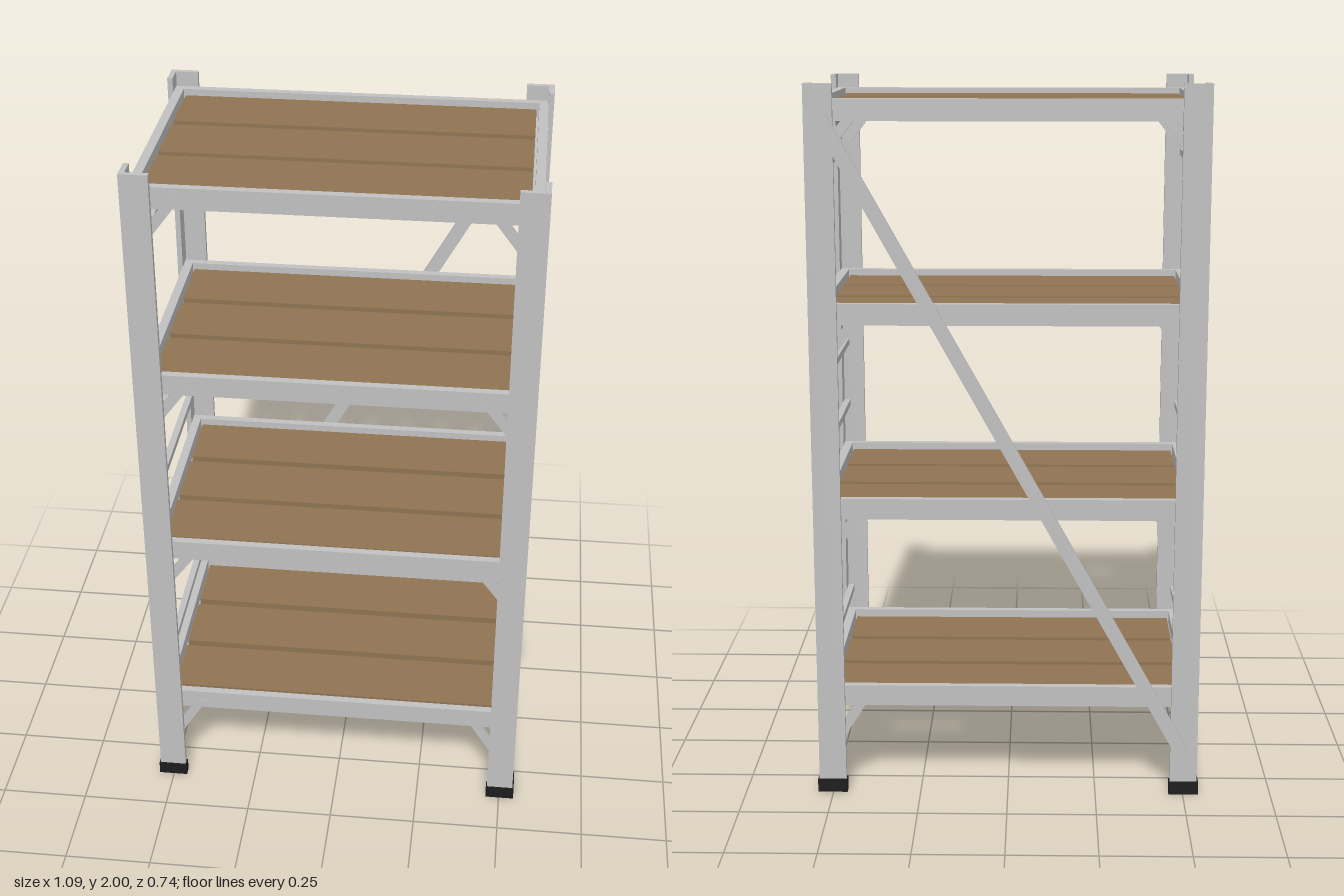
import * as THREE from 'three';

const mat = (name, color) => {
  const m = new THREE.MeshStandardMaterial({ color });
  m.name = name;
  return m;
};

export function createModel() {
  const steel = mat('galvanised steel', 0xc0c0c0);
  const wood = mat('wood board', 0x8f7352);
  const rubber = mat('black rubber', 0x1c1c1c);

  const rack = new THREE.Group();
  rack.name = 'shelvingRack';
  const CZ = 0.004; // frame centre in depth, leaving room for the rear brace

  const add = (name, geometry, material, parent = rack) => {
    const mesh = new THREE.Mesh(geometry, material);
    mesh.name = name;
    parent.add(mesh);
    return mesh;
  };

  // box given by its low and high corners
  const block = (name, x0, x1, y0, y1, z0, z1, material, parent) => {
    const g = new THREE.BoxGeometry(Math.abs(x1 - x0), Math.abs(y1 - y0), Math.abs(z1 - z0));
    g.translate((x0 + x1) / 2, (y0 + y1) / 2, (z0 + z1) / 2);
    return add(name, g, material, parent);
  };

  // upright angle section with its outer corner at (sx * x, sz * z)
  const angle = (name, sx, sz, x, z, wx, wz, t, y0, y1, material) => {
    const corners = [[x, z], [x - wx, z], [x - wx, z - t], [x - t, z - t], [x - t, z - wz], [x, z - wz]];
    const shape = new THREE.Shape(corners.map(([a, b]) => new THREE.Vector2(sx * a, -(sz * b + CZ))));
    const g = new THREE.ExtrudeGeometry(shape, { depth: y1 - y0, bevelEnabled: false });
    g.rotateX(-Math.PI / 2);
    g.translate(0, y0, 0);
    return add(name, g, material);
  };

  // flat bar from a to b in the xy plane
  const bar = (name, [ax, ay], [bx, by], width, thick, parent) => {
    const g = new THREE.BoxGeometry(Math.hypot(bx - ax, by - ay), width, thick);
    g.rotateZ(Math.atan2(by - ay, bx - ax));
    g.translate((ax + bx) / 2, (ay + by) / 2, 0);
    return add(name, g, steel, parent);
  };

  // posts and feet
  for (const sx of [-1, 1]) {
    for (const sz of [-1, 1]) {
      angle('post', sx, sz, 0.54, 0.362, 0.077, 0.07, 0.015, 0.012, 2, steel);
      angle('foot', sx, sz, 0.544, 0.367, 0.084, 0.079, 0.026, 0, 0.038, rubber);
    }
  }

  // shelves
  [0.315, 0.865, 1.412, 1.96].forEach((top, level) => {
    const shelf = new THREE.Group();
    shelf.name = 'shelf';
    shelf.position.set(0, top, 0);
    rack.add(shelf);

    // long and short beams, each with an inner ledge carrying the boards
    for (const s of [-1, 1]) {
      block('longBeam', -0.525, 0.525, -0.059, 0, s * 0.32 + CZ, s * 0.342 + CZ, steel, shelf);
      block('longLedge', -0.5, 0.5, -0.048, -0.04, s * 0.29 + CZ, s * 0.32 + CZ, steel, shelf);
      block('endBeam', s * 0.5, s * 0.525, -0.059, 0, -0.32 + CZ, 0.32 + CZ, steel, shelf);
      block('endLedge', s * 0.478, s * 0.5, -0.048, -0.04, -0.29 + CZ, 0.29 + CZ, steel, shelf);
    }

    // boards
    for (const z of [-0.214, -0.003, 0.206]) {
      block('board', -0.493, 0.493, -0.04, -0.015, z - 0.093, z + 0.093, wood, shelf);
    }

    // corner struts on the long and short sides
    for (const sx of [-1, 1]) {
      for (const sz of [-1, 1]) {
        const reach = level === 0 ? -0.175 : -0.15;
        bar('longStrut', [sx * 0.405, -0.03], [sx * 0.495, reach], 0.027, 0.012, shelf)
          .position.z = sz * 0.339 + CZ;
        const end = bar('endStrut', [sz * 0.207, -0.03], [sz * 0.33, -0.141], 0.027, 0.012, shelf);
        end.rotation.y = -Math.PI / 2;
        end.position.set(sx * 0.52, 0, CZ);
      }
    }
  });

  // side rungs
  for (const sx of [-1, 1]) {
    for (const y of [0.38, 0.988, 1.183, 1.77]) {
      block('sideRung', sx * 0.507, sx * 0.526, y - 0.01, y + 0.01, -0.347 + CZ, 0.347 + CZ, steel);
    }
  }

  // rear diagonal brace
  bar('rearBrace', [-0.495, 0.13], [0.495, 1.91], 0.038, 0.012).position.z = -0.365;

  return rack;
}
